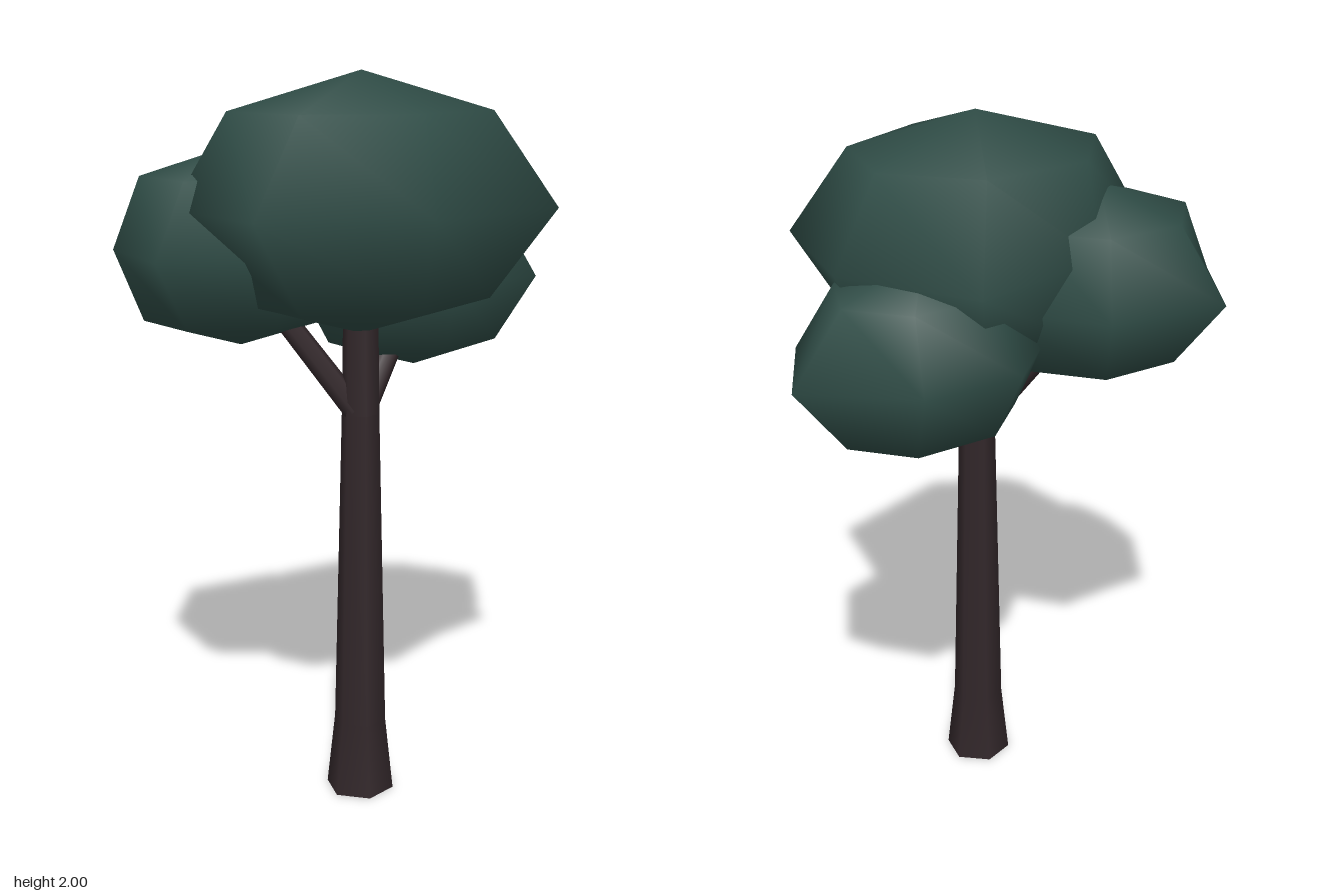
import * as THREE from 'three';

const leaf = new THREE.MeshStandardMaterial({ color: 0x2f4c46 });
leaf.name = 'dark green leaves';
const bark = new THREE.MeshStandardMaterial({ color: 0x32272a });
bark.name = 'dark brown bark';

function addMesh(group, name, geometry, material) {
  const mesh = new THREE.Mesh(geometry, material);
  mesh.name = name;
  group.add(mesh);
  return mesh;
}

// Rounded clump: two poles and three rings; the waist is seven [x, z] points,
// the other two rings are regular ovals at 45 degrees up and down
function clump(center, radii, start, waist) {
  const [cx, cy, cz] = center, [rx, ry, rz] = radii;
  const n = waist.length, k = Math.SQRT1_2;
  const pos = [cx, cy + ry, cz];
  for (const level of [1, 0, -1]) {
    waist.forEach(([x, z], i) => {
      const a = start + (i / n) * Math.PI * 2;
      if (level === 0) pos.push(x, cy, z);
      else pos.push(cx + k * rx * Math.cos(a), cy + level * k * ry, cz + k * rz * Math.sin(a));
    });
  }
  pos.push(cx, cy - ry, cz);
  const index = [], bottom = 3 * n + 1;
  for (let i = 0; i < n; i++) {
    const j = (i + 1) % n;
    index.push(0, 1 + j, 1 + i);
    for (let r = 0; r < 2; r++) {
      const a = 1 + r * n + i, b = 1 + r * n + j;
      index.push(a, b, a + n, b, b + n, a + n);
    }
    index.push(bottom, 1 + 2 * n + i, 1 + 2 * n + j);
  }
  const g = new THREE.BufferGeometry();
  g.setAttribute('position', new THREE.Float32BufferAttribute(pos, 3));
  g.setIndex(index);
  g.computeVertexNormals();
  return g;
}

// Tapered limb between two points
function limb(group, name, from, to, r0, r1) {
  const a = new THREE.Vector3(...from), b = new THREE.Vector3(...to);
  const dir = b.clone().sub(a);
  const m = addMesh(group, name, new THREE.CylinderGeometry(r1, r0, dir.length(), 6), bark);
  m.position.copy(a).add(b).multiplyScalar(0.5);
  m.quaternion.setFromUnitVectors(new THREE.Vector3(0, 1, 0), dir.normalize());
}

export function createModel() {
  const tree = new THREE.Group();
  tree.name = 'tree';

  // Six-sided trunk with a flared foot
  const profile = [[0.096, 0], [0.073, 0.21], [0.052, 1.1], [0.047, 1.45]];
  const trunkShape = new THREE.LatheGeometry(profile.map(p => new THREE.Vector2(...p)), 6);
  const trunk = addMesh(tree, 'trunk', trunkShape, bark);
  trunk.rotation.y = Math.PI / 2;
  trunk.position.set(-0.083, 0, 0.112);
  const base = addMesh(tree, 'trunkBase', new THREE.CircleGeometry(0.096, 6), bark);
  base.rotation.x = Math.PI / 2;
  base.position.set(-0.083, 0, 0.112);

  // Branches reaching into the two smaller clumps
  limb(tree, 'leftBranch', [-0.07, 1.11, 0.115], [0.17, 1.34, 0.05], 0.034, 0.03);
  limb(tree, 'backBranch', [-0.1, 1.11, 0.11], [-0.22, 1.4, -0.09], 0.034, 0.03);

  // Foliage
  addMesh(tree, 'mainFoliage', clump([-0.085, 1.66, 0.115], [0.52, 0.34, 0.46], 0.08, [
    [0.41, 0.17], [0.19, 0.545], [-0.26, 0.52], [-0.6, 0.25],
    [-0.52, -0.13], [-0.12, -0.27], [0.33, -0.24],
  ]), leaf);
  addMesh(tree, 'leftFoliage', clump([0.23, 1.44, 0.03], [0.39, 0.262, 0.3], 0.15, [
    [0.645, 0.1], [0.41, 0.32], [0.09, 0.3], [-0.11, 0.12],
    [-0.08, -0.14], [0.21, -0.27], [0.48, -0.18],
  ]), leaf);
  addMesh(tree, 'backFoliage', clump([-0.265, 1.545, -0.16], [0.38, 0.267, 0.34], 0.12, [
    [0.11, -0.12], [-0.07, 0.16], [-0.4, 0.19], [-0.645, -0.05],
    [-0.545, -0.34], [-0.295, -0.545], [0.015, -0.4],
  ]), leaf);

  return tree;
}
